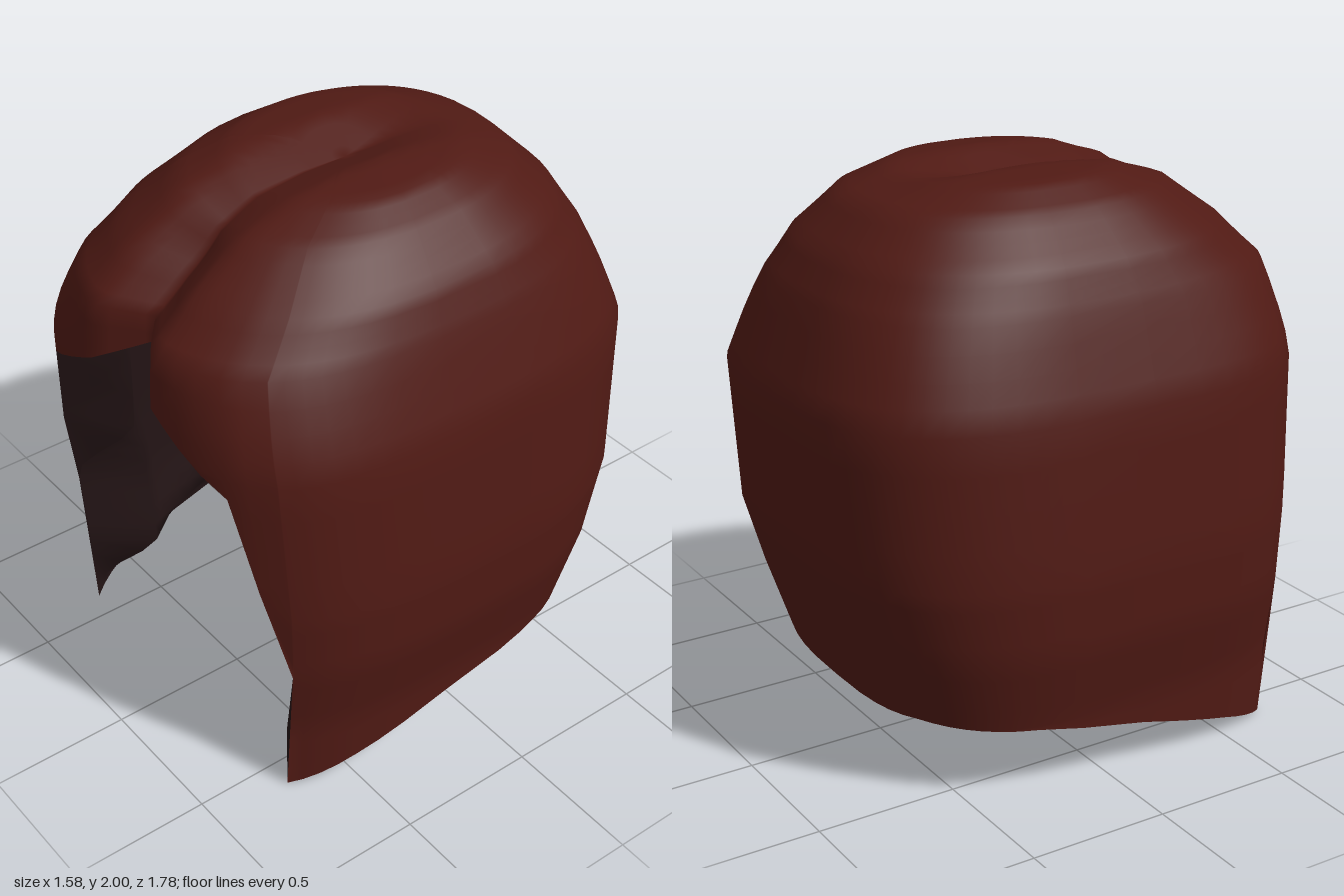
import * as THREE from 'three';
import { mergeVertices } from 'three/addons/utils/BufferGeometryUtils.js';

const { lerp, clamp, smoothstep } = THREE.MathUtils;

// dome sections from the tips to the crown: [height, half width, front depth, back depth]
const SECTIONS = [
  [0, 0.713, 0.865, 0.6], [0.27, 0.725, 0.87, 0.67], [0.54, 0.78, 0.87, 0.76],
  [0.8, 0.79, 0.88, 0.84], [1.32, 0.75, 0.9, 0.885], [1.63, 0.65, 0.89, 0.77],
  [1.77, 0.59, 0.75, 0.69], [1.91, 0.46, 0.56, 0.55], [1.98, 0.35, 0.36, 0.36],
  [2, 0.17, 0.17, 0.17], [2, 0, 0, 0],
];
// lower edge: height of the face opening by relative x, and of the hem by relative z
const OPENING = [[0, 1.53], [0.662, 1.25], [0.838, 0.54], [0.841, 0]];
const HEM = [[-1, 0.26], [-0.9, 0.28], [-0.4, 0.255], [0.12, 0.18], [0.55, 0.08], [0.826, 0]];
const HEIGHTS = SECTIONS.slice(0, 10).map((s, i) => [s[0], i]);
const ROWS = 40;

function interpolate(table, x) {
  let i = 0;
  while (i < table.length - 2 && x > table[i + 1][0]) i++;
  const [a, b] = [table[i], table[i + 1]];
  return lerp(a[1], b[1], clamp((x - a[0]) / (b[0] - a[0]), 0, 1));
}

// columns of one half, running from the front centre round the side to the back centre
function halfColumns() {
  const columns = [];
  for (const nx of [0, 0.04, 0.08, 0.13, 0.18, 0.24, 0.32, 0.42, 0.54, 0.662, 0.75, 0.838, 0.841]) {
    const hem = interpolate(OPENING, nx);
    columns.push({ nx, nz: Math.pow(1 - Math.pow(nx, 3.8), 1 / 3.8), hem, rim: Math.max(hem, 0.54) });
  }
  const steps = 22, start = 0.803;
  for (let i = 1; i <= steps; i++) {
    const angle = lerp(start, Math.PI, i / steps);
    const c = Math.cos(angle);
    const power = c > 0 ? 3.8 : 3;
    const nx = i === steps ? 0 : Math.pow(Math.sin(angle), 2 / power);
    const nz = Math.sign(c) * Math.pow(Math.abs(c), 2 / power);
    const hem = interpolate(HEM, nz);
    columns.push({ nx, nz, hem, rim: hem });
  }
  return columns;
}

// a point on the shell; the parting makes a groove over the crown and a notch in the fringe
function shellPoint(column, r, thickness) {
  const u = Math.max(interpolate(HEIGHTS, column.hem), r / ROWS * (SECTIONS.length - 1));
  const i = Math.min(Math.floor(u), SECTIONS.length - 2);
  const [y, w, f, b] = SECTIONS[i].map((v, k) => lerp(v, SECTIONS[i + 1][k], u - i));
  const inset = thickness * smoothstep(y - column.rim, 0.02, 0.28);

  // the plan gets rounder toward the crown
  const power = lerp(3, 2.3, smoothstep(y, 1.35, 1.95));
  const round = Math.pow(Math.pow(Math.abs(column.nx), power) + Math.pow(Math.abs(column.nz), power), -1 / power);
  const scale = lerp(1, round, smoothstep(y, 1.35, 1.7));
  const x = column.nx * scale * Math.max(0, w - inset);
  const z = column.nz * scale * Math.max(0, (column.nz > 0 ? f : b) - inset);

  const groove = Math.max(0, 1 - Math.abs(x) / 0.17);
  const dip = 0.07 * groove * smoothstep(z, -0.5, -0.05) * smoothstep(y, 1.55, 1.9);
  const notch = 0.14 * groove * smoothstep(z, 0.3, 0.85);
  return [x, y - dip - inset * smoothstep(y, 1.2, 2), z - notch];
}

function shellGeometry(thickness, inward) {
  const half = halfColumns();
  const mirrored = half.slice(1, -1).reverse().map((c) => ({ ...c, nx: -c.nx }));
  const columns = [...half, ...mirrored];
  const positions = [], index = [];
  columns.forEach((column, j) => {
    for (let r = 0; r <= ROWS; r++) positions.push(...shellPoint(column, r, thickness));
    const next = ((j + 1) % columns.length) * (ROWS + 1);
    for (let r = 0; r < ROWS; r++) {
      const a = j * (ROWS + 1) + r, b = next + r;
      if (inward) index.push(a, b + 1, b, a, a + 1, b + 1);
      else index.push(a, b, b + 1, a, b + 1, a + 1);
    }
  });
  const geometry = new THREE.BufferGeometry();
  geometry.setAttribute('position', new THREE.Float32BufferAttribute(positions, 3));
  geometry.setIndex(index);
  const merged = mergeVertices(geometry, 1e-4);
  merged.computeVertexNormals();
  return merged;
}

export function createModel() {
  const model = new THREE.Group();
  model.name = 'hair';

  // outer hair surface
  const outer = new THREE.Mesh(shellGeometry(0, false), new THREE.MeshStandardMaterial({ color: 0x501a14 }));
  outer.name = 'outerHair';

  // thick dark lining, meeting the outer surface along the edge
  const lining = new THREE.Mesh(shellGeometry(0.2, true), new THREE.MeshStandardMaterial({ color: 0x231415 }));
  lining.name = 'innerLining';

  model.add(outer, lining);
  return model;
}
